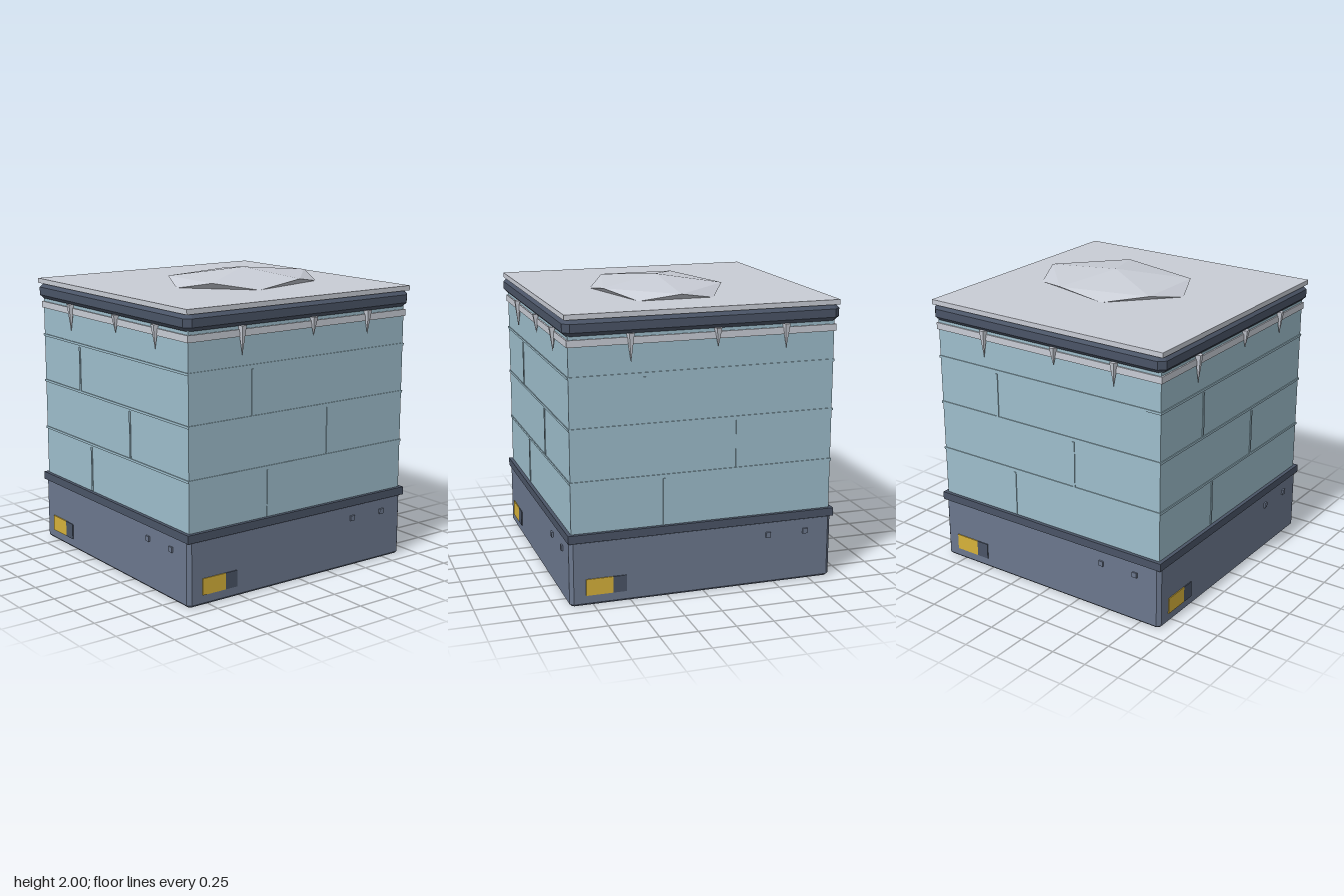
import * as THREE from 'three';

const mat = (name, color) => {
  const m = new THREE.MeshStandardMaterial({ color });
  m.name = name;
  return m;
};

export function createModel() {
  const model = new THREE.Group();
  model.name = 'block';
  const ice = mat('ice blue', 0x9dbdcb);
  const base = mat('slate', 0x6b778d);
  const dark = mat('dark slate', 0x4a5466);
  const snow = mat('snow grey', 0xc8ccd5);
  const yellow = mat('label yellow', 0xd6b13a);

  const add = (parent, name, geometry, material, x = 0, y = 0, z = 0) => {
    const mesh = new THREE.Mesh(geometry, material);
    mesh.name = name;
    mesh.position.set(x, y, z);
    parent.add(mesh);
    return mesh;
  };

  // square layer between two heights
  const layer = (name, half, y0, y1, material) =>
    add(model, name, new THREE.BoxGeometry(2 * half, y1 - y0, 2 * half), material, 0, (y0 + y1) / 2, 0);

  // square layer with every edge cut at 45 degrees
  const chamferedLayer = (name, half, y0, y1, cut, material) => {
    const a = half - cut, b = a - cut;
    const outline = [[a, -b], [a, b], [b, a], [-b, a], [-a, b], [-a, -b], [-b, -a], [b, -a]];
    const shape = new THREE.Shape(outline.map(([x, y]) => new THREE.Vector2(x, y)));
    const geometry = new THREE.ExtrudeGeometry(shape, {
      depth: y1 - y0 - 2 * cut, bevelEnabled: true, bevelSize: cut, bevelThickness: cut, bevelSegments: 1,
    });
    geometry.rotateX(-Math.PI / 2);
    return add(model, name, geometry, material, 0, y0 + cut, 0);
  };

  // stacked body
  chamferedLayer('base', 0.905, 0, 0.44, 0.015, base);
  layer('lowerBand', 0.915, 0.43, 0.485, dark);
  layer('iceWall', 0.89, 0.48, 1.77, ice);
  layer('frostTrim', 0.9, 1.69, 1.735, snow);
  chamferedLayer('capRim', 0.924, 1.758, 1.864, 0.026, dark);
  layer('snowSlab', 0.916, 1.864, 1.897, snow);

  // raised horizontal joints between the courses
  const courses = [1.495, 1.165, 0.82, 0.485];
  for (const y of courses.slice(0, 3)) layer('horizontalJoint', 0.896, y - 0.008, y + 0.008, ice);

  // details repeated on all four sides
  for (let i = 0; i < 4; i++) {
    const side = new THREE.Group();
    side.name = 'sideDetails';
    side.rotation.y = i * Math.PI / 2;
    model.add(side);

    // staggered vertical joints
    [-0.4, 0.225, -0.27].forEach((x, row) => {
      const top = courses[row] - 0.02, bottom = courses[row + 1] + 0.005;
      add(side, 'verticalJoint', new THREE.BoxGeometry(0.016, top - bottom, 0.012), ice, x, (top + bottom) / 2, 0.889);
    });

    // label plates and bolts
    add(side, 'yellowLabel', new THREE.BoxGeometry(0.18, 0.11, 0.009), yellow, -0.71, 0.125, 0.907);
    add(side, 'darkLabel', new THREE.BoxGeometry(0.09, 0.11, 0.009), dark, -0.575, 0.125, 0.907);
    for (const x of [0.45, 0.715]) {
      add(side, 'bolt', new THREE.BoxGeometry(0.035, 0.035, 0.024), base, x, 0.343, 0.905);
    }

    // icicles
    for (const [x, tip] of [[-0.49, 1.57], [0.085, 1.635], [0.55, 1.6]]) {
      const height = 1.76 - tip;
      const cone = new THREE.ConeGeometry(0.028, height, 5).toNonIndexed();
      cone.rotateX(Math.PI);
      cone.computeVertexNormals();
      add(side, 'icicle', cone, snow, x, tip + height / 2, 0.902);
    }
  }

  // faceted snow mound: apex, raised ring of five, low ring of five
  const ring = (k, y) => {
    const a = k * Math.PI / 5;
    return [0.55 * Math.cos(a), y, 0.434 * Math.sin(a)];
  };
  const points = [];
  for (let k = 0; k < 10; k += 2) {
    const high = ring(k, 0.05), next = ring(k + 2, 0.05), low = ring(k + 1, 0), lowPrev = ring(k - 1, 0);
    points.push([0, 0.105, 0], next, high, high, next, low, high, low, lowPrev);
  }
  const mound = new THREE.BufferGeometry();
  mound.setAttribute('position', new THREE.Float32BufferAttribute(points.flat(), 3));
  mound.computeVertexNormals();
  add(model, 'snowMound', mound, snow, 0.13, 1.895, 0.085);

  return model;
}
